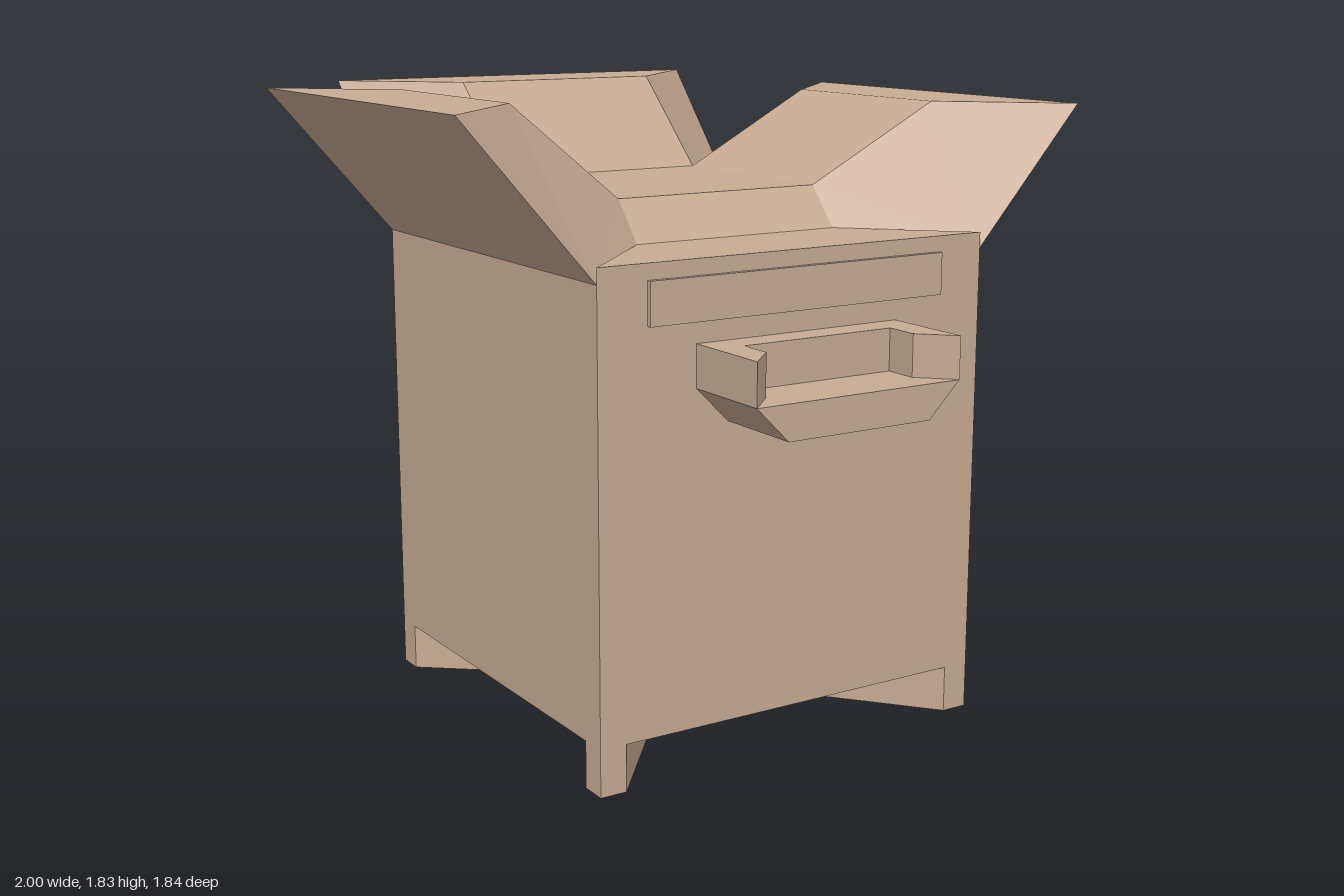
import * as THREE from 'three';

const cardboard = new THREE.MeshStandardMaterial({ color: 0xc8ab93 });
cardboard.name = 'cardboard';

function part(name, geometry) {
  const mesh = new THREE.Mesh(geometry, cardboard);
  mesh.name = name;
  return mesh;
}

// Flat-shaded surface from four-cornered faces
function quads(faces) {
  const pos = [];
  for (const [a, b, c, d] of faces) pos.push(...a, ...b, ...c, ...a, ...c, ...d);
  const g = new THREE.BufferGeometry();
  g.setAttribute('position', new THREE.Float32BufferAttribute(pos, 3));
  g.computeVertexNormals();
  return g;
}

// Floor-plan outline [x, z] raised from y0 to y1
function prism(plan, y0, y1, hole) {
  const pts = (list) => list.map(([x, z]) => new THREE.Vector2(x, -z));
  const shape = new THREE.Shape(pts(plan));
  if (hole) shape.holes.push(new THREE.Path(pts(hole)));
  const g = new THREE.ExtrudeGeometry(shape, { depth: y1 - y0, bevelEnabled: false });
  return g.rotateX(-Math.PI / 2).translate(0, y0, 0);
}

const rect = (x0, x1, z0, z1) => [[x0, z0], [x1, z0], [x1, z1], [x0, z1]];

export function createModel() {
  const model = new THREE.Group();
  model.name = 'openBox';

  // Corners in order: front right, front left, back left, back right
  const corners = [[-0.62, 0.64], [0.64, 0.64], [0.64, -0.61], [-0.62, -0.61]];
  const inner = [[-0.32, 0.24], [0.34, 0.24], [0.34, -0.41], [-0.32, -0.41]];
  const at = (list, i, y) => [list[i % 4][0], y, list[i % 4][1]];
  const base = 0.14, rim = 1.39, deck = 1.55;

  // Walls, underside and raised inner lid
  const walls = [0, 1, 2, 3].map((i) =>
    [at(corners, i, base), at(corners, i + 1, base), at(corners, i + 1, rim), at(corners, i, rim)]);
  walls.push([3, 2, 1, 0].map((i) => at(corners, i, base)));
  model.add(part('body', quads(walls)));
  model.add(part('innerLid', quads([[0, 1, 2, 3].map((i) => at(inner, i, deck))])));

  // Flaps: tip edge and inner edge, each given by its two ends
  const flaps = [
    ['frontFlap', 1.435, [[-0.62, 0.64], [0.64, 0.64]], [[-0.32, 0.34], [0.34, 0.34]]],
    ['leftFlap', 1.785, [[1, 0.635], [1, -0.615]], [[0.7, 0.335], [0.7, -0.32]]],
    ['backFlap', 1.825, [[0.6, -0.92], [-0.65, -0.92]], [[0.3, -0.63], [-0.36, -0.63]]],
    ['rightFlap', 1.83, [[-1, -0.615], [-1, 0.635]], [[-0.7, -0.32], [-0.7, 0.335]]],
  ];
  flaps.forEach(([name, y, tip, edge], i) => {
    const A = at(corners, i, rim), B = at(corners, i + 1, rim);
    const [tA, tB] = tip.map(([x, z]) => [x, y, z]);
    const [eA, eB] = edge.map(([x, z]) => [x, y, z]);
    const dA = at(inner, i, deck), dB = at(inner, i + 1, deck);
    model.add(part(name, quads([
      [A, B, tB, tA],
      [tA, tB, eB, eA],
      [eA, eB, dB, dA],
      [A, tA, eA, dA],
      [B, dB, eB, tB],
    ])));
  });

  // Base ring with diagonal feet out to the corners
  model.add(part('baseRing', prism(rect(-0.305, 0.325, -0.3, 0.33), 0, base, rect(-0.235, 0.255, -0.23, 0.26))));
  for (const sx of [-1, 1]) {
    for (const sz of [-1, 1]) {
      const plan = [[0.63, 0.625], [0.55, 0.625], [0.3, 0.325], [0.27, 0.27], [0.325, 0.3], [0.63, 0.545]]
        .map(([x, z]) => [0.01 + sx * x, 0.015 + sz * z]);
      model.add(part('foot', prism(plan, 0.004, base)));
    }
  }

  // Front plate
  const plate = part('frontPlate', new THREE.BoxGeometry(0.96, 0.12, 0.016));
  plate.position.set(0.01, 1.33, 0.647);
  model.add(plate);

  // Handle: open-fronted rim over a tapered tray
  const handle = new THREE.Group();
  handle.name = 'handle';
  handle.add(part('handleRim', prism([
    [-0.32, 0.64], [-0.32, 0.92], [-0.23, 0.83], [-0.23, 0.73],
    [0.25, 0.73], [0.25, 0.83], [0.34, 0.92], [0.34, 0.64],
  ], 1.09, 1.21)));
  const tray = new THREE.Shape([[-0.22, 0.99], [0.24, 0.99], [0.34, 1.09], [-0.32, 1.09]]
    .map(([x, y]) => new THREE.Vector2(x, y)));
  handle.add(part('handleTray',
    new THREE.ExtrudeGeometry(tray, { depth: 0.28, bevelEnabled: false }).translate(0, 0, 0.64)));
  model.add(handle);

  return model;
}
